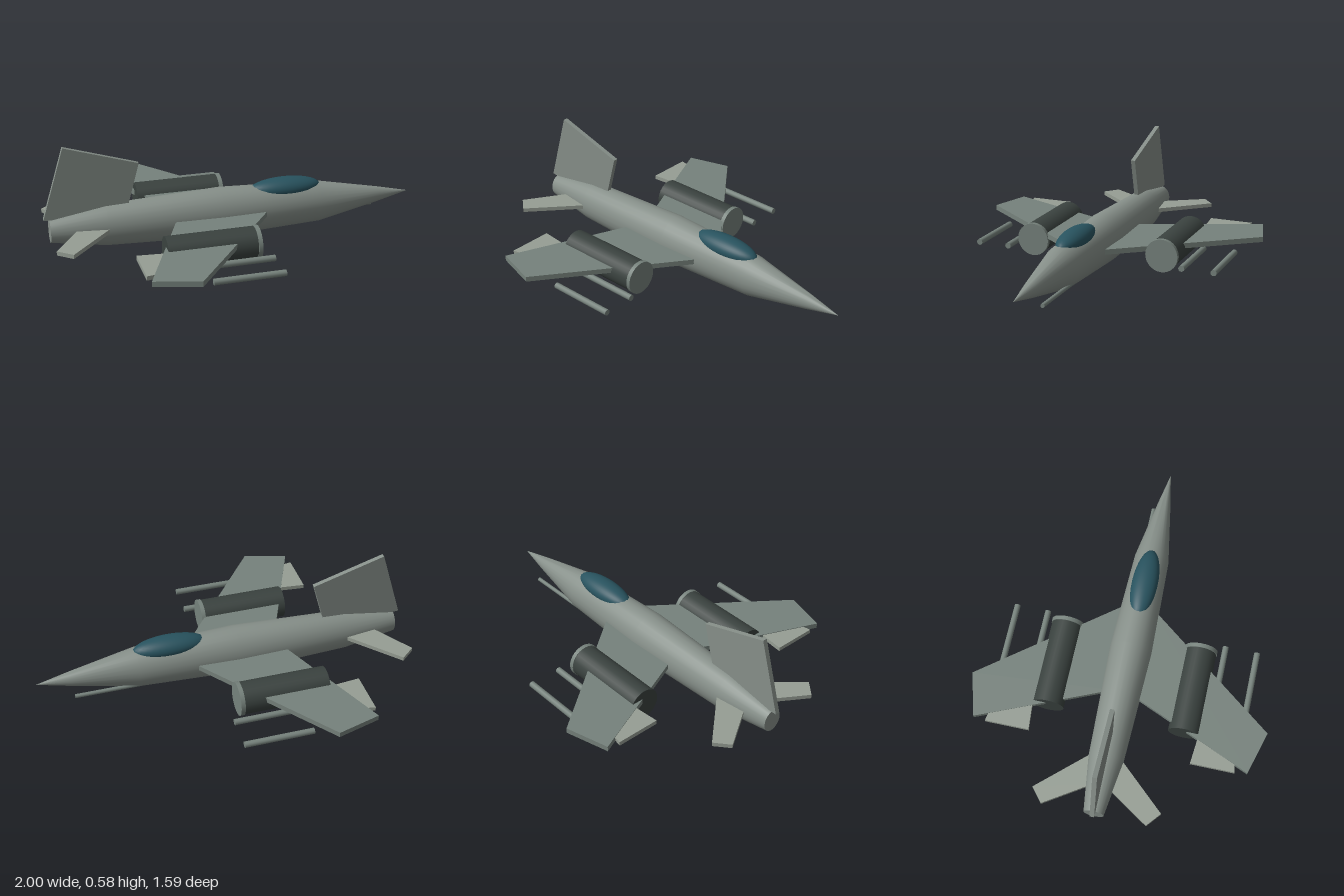
import * as THREE from 'three';
import { toCreasedNormals } from 'three/addons/utils/BufferGeometryUtils.js';

const material = (color) => new THREE.MeshStandardMaterial({ color });

export function createModel() {
  const model = new THREE.Group();
  model.name = 'jet';
  const bodyMat = material(0x87908a);
  const wingMat = material(0x76827c);
  const tailMat = material(0x969e94);
  const engineMat = material(0x3a423f);
  const canopyMat = material(0x28535f);

  function add(name, geometry, mat, x = 0, y = 0, z = 0) {
    const mesh = new THREE.Mesh(geometry, mat);
    mesh.name = name;
    mesh.position.set(x, y, z);
    model.add(mesh);
    return mesh;
  }

  // Flat plate from an outline
  function plate(points, depth) {
    const shape = new THREE.Shape(points.map(([a, b]) => new THREE.Vector2(a, b)));
    return new THREE.ExtrudeGeometry(shape, { depth, bevelEnabled: false });
  }

  // Horizontal plate: outline in x and z, mirrored by side
  function surface(name, points, side, top, depth, mat) {
    const geo = plate(points.map(([x, z]) => [x, z * side]), depth).rotateX(Math.PI / 2);
    add(name, geo, mat, 0, top, 0);
  }

  // Cylinder lying along x
  function rod(name, r, x0, x1, y, z, mat, sides = 12) {
    const geo = new THREE.CylinderGeometry(r, r, x1 - x0, sides).rotateZ(-Math.PI / 2);
    add(name, geo, mat, (x0 + x1) / 2, y, z);
  }

  // Fuselage: turned profile of [radius, x], taller than wide
  const profile = [[0, -0.97], [0.053, -0.97], [0.093, -0.68], [0.114, -0.07],
    [0.095, 0.47], [0.035, 0.82], [0, 1]].map(([r, x]) => new THREE.Vector2(r, x));
  const hull = new THREE.LatheGeometry(profile, 24).rotateZ(-Math.PI / 2).scale(1, 1.18, 1);
  add('fuselage', toCreasedNormals(hull, 0.6), bodyMat, 0, 0.135, 0);

  // Canopy
  const dome = new THREE.SphereGeometry(1, 32, 20).scale(0.197, 0.056, 0.07);
  add('canopy', dome, canopyMat, 0.287, 0.235, 0);

  // Vertical fin
  add('tailFin', plate([[-1, 0.2], [-0.58, 0.17], [-0.5, 0.46], [-0.885, 0.58]], 0.024),
    bodyMat, 0, 0, -0.012);

  // Nose gun on the right side of the chin
  rod('gunBarrel', 0.011, 0.42, 0.81, 0.06, -0.058, wingMat);

  for (const side of [1, -1]) {
    const label = side > 0 ? 'left' : 'right';

    // Swept wing and the flap behind it
    surface(label + 'Wing', [[0.2, 0.05], [-0.37, 0.795], [-0.6, 0.73], [-0.31, 0.05]],
      side, 0.149, 0.028, wingMat);
    surface(label + 'Flap', [[-0.61, 0.43], [-0.4, 0.45], [-0.5, 0.645], [-0.61, 0.665]],
      side, 0.146, 0.022, tailMat);

    // Tailplane
    surface(label + 'Tailplane', [[-0.64, 0.05], [-0.9, 0.338], [-0.975, 0.275], [-0.83, 0.05]],
      side, 0.146, 0.022, tailMat);

    // Engine pod with intake ring
    rod(label + 'Engine', 0.085, -0.45, 0.02, 0.109, side * 0.367, engineMat, 28);
    rod(label + 'Intake', 0.0885, 0.008, 0.03, 0.109, side * 0.367, wingMat, 28);

    // Underwing missiles
    for (const z of [0.494, 0.666]) {
      rod(label + 'Missile', 0.0165, -0.285, 0.08, 0.072, side * z, wingMat);
    }
  }
  return model;
}
